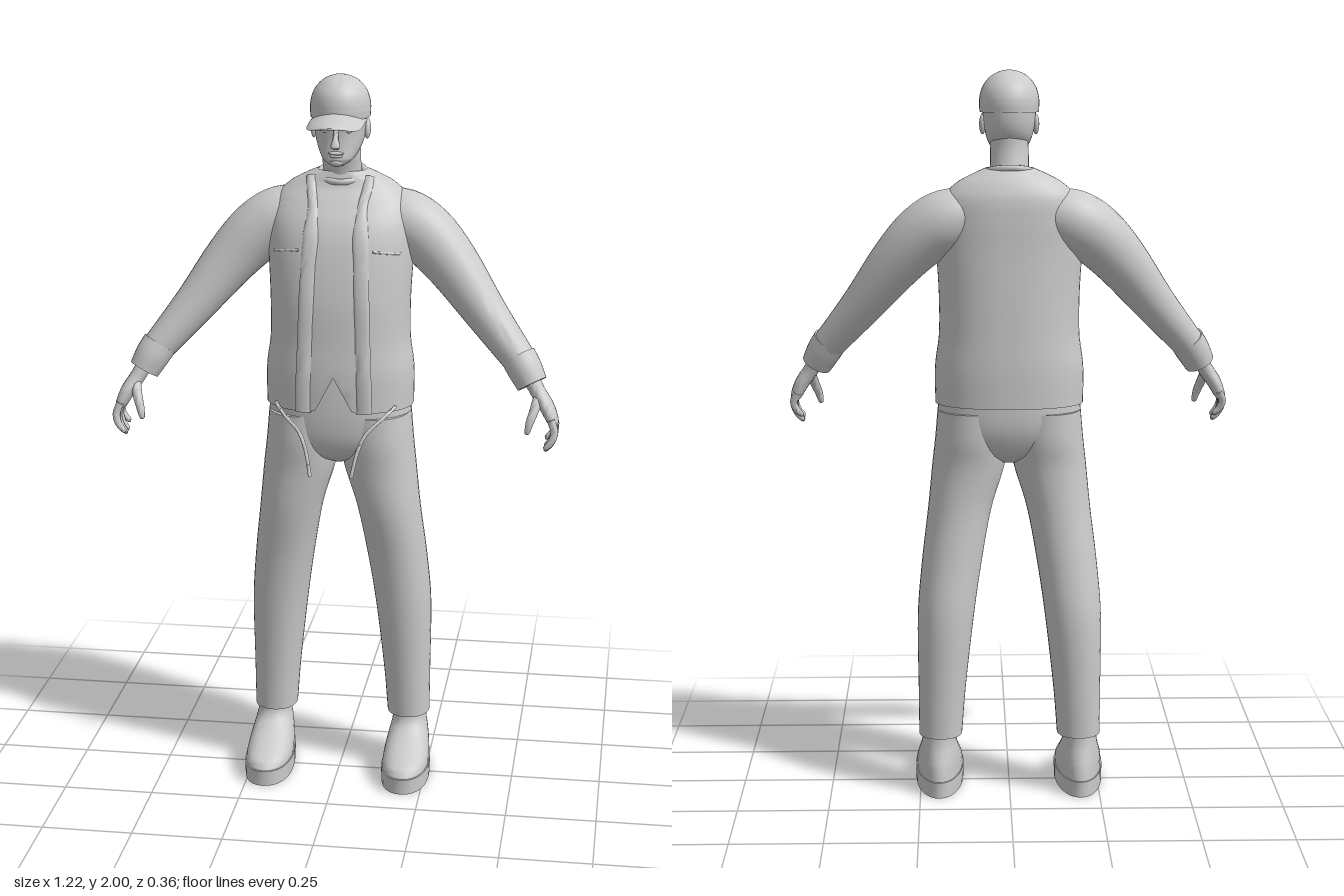
import * as THREE from 'three';
import { toCreasedNormals } from 'three/addons/utils/BufferGeometryUtils.js';

const X = new THREE.Vector3(1, 0, 0);
const Y = new THREE.Vector3(0, 1, 0);
const Z = new THREE.Vector3(0, 0, 1);
const material = new THREE.MeshStandardMaterial({ color: 0xcccccc, side: THREE.DoubleSide });

// Smoothly resample rows of [x, y, z, radiusU, radiusV]
function resample(rows, steps) {
  const out = [];
  const n = rows.length - 1;
  for (let k = 0; k <= n * steps; k++) {
    const i = Math.min(Math.floor(k / steps), n - 1), t = k / steps - i;
    out.push(rows[i].map((b, c) => {
      const d = rows[i + 1][c];
      const a = i ? rows[i - 1][c] : 2 * b - d;
      const e = i + 2 <= n ? rows[i + 2][c] : 2 * d - b;
      return 0.5 * (2 * b + (d - a) * t + (2 * a - 5 * b + 4 * d - e) * t * t + (3 * b - a - 3 * d + e) * t * t * t);
    }));
  }
  return out;
}

// Skin a closed surface over superellipse rings; a fixed axis keeps the rings parallel
function loft(rows, { segs = 24, steps = 4, power = 2, side = X, axis = null, capStart = true, capEnd = true, warp = null } = {}) {
  const rings = resample(rows, steps);
  const pos = [], index = [];
  const centre = rings.map(r => new THREE.Vector3(r[0], r[1], r[2]));
  const soft = v => Math.sign(v) * Math.abs(v) ** (2 / power);
  const put = p => { if (warp) warp(p); pos.push(p.x, p.y, p.z); };
  rings.forEach((r, i) => {
    const t = axis || centre[Math.min(i + 1, rings.length - 1)].clone().sub(centre[Math.max(i - 1, 0)]).normalize();
    const u = side.clone().addScaledVector(t, -t.dot(side)).normalize();
    const v = t.clone().cross(u);
    for (let j = 0; j < segs; j++) {
      const a = j / segs * Math.PI * 2;
      put(centre[i].clone().addScaledVector(u, soft(Math.cos(a)) * r[3]).addScaledVector(v, soft(Math.sin(a)) * r[4]));
    }
  });
  const last = (rings.length - 1) * segs;
  for (let i = 0; i < last; i += segs) {
    for (let j = 0; j < segs; j++) {
      const k = (j + 1) % segs;
      index.push(i + j, i + k, i + segs + k, i + j, i + segs + k, i + segs + j);
    }
  }
  const hub = pos.length / 3;
  put(centre[0].clone());
  put(centre[centre.length - 1].clone());
  for (let j = 0; j < segs; j++) {
    const k = (j + 1) % segs;
    if (capStart) index.push(hub, k, j);
    if (capEnd) index.push(hub + 1, last + j, last + k);
  }
  const g = new THREE.BufferGeometry();
  g.setAttribute('position', new THREE.Float32BufferAttribute(pos, 3));
  g.setIndex(index);
  return toCreasedNormals(g, 0.9);
}

const TORSO = [
  [0, 1.10, -0.03, 0.203, 0.147], [0, 1.2, -0.03, 0.203, 0.15], [0, 1.29, -0.031, 0.192, 0.147],
  [0, 1.4, -0.032, 0.192, 0.143], [0, 1.52, -0.04, 0.198, 0.131], [0, 1.6, -0.052, 0.198, 0.118],
  [0, 1.66, -0.068, 0.182, 0.098], [0, 1.7, -0.075, 0.145, 0.077], [0, 1.725, -0.071, 0.1, 0.065],
  [0, 1.74, -0.066, 0.066, 0.056],
];
const TORSO_POWER = 2.3;

// Depth of the jacket front at a given x and y
function chestZ(x, y) {
  const r = resample(TORSO, 8).find(q => q[1] >= y) || TORSO[TORSO.length - 1];
  return r[2] + r[4] * (1 - Math.min(1, Math.abs(x / r[3])) ** TORSO_POWER) ** (1 / TORSO_POWER);
}

export function createModel() {
  const model = new THREE.Group();
  const add = (name, geometry) => {
    const m = new THREE.Mesh(geometry, material);
    m.name = name;
    model.add(m);
    return m;
  };
  const ball = (name, p, s) => {
    const m = add(name, new THREE.SphereGeometry(1, 16, 12));
    m.position.set(...p);
    m.scale.set(...s);
    return m;
  };

  // Jacket body, with a notch at the centre of the front hem
  add('jacketBody', loft(TORSO, {
    segs: 64, steps: 6, power: TORSO_POWER, axis: Y, capStart: false, capEnd: false,
    warp: p => { if (p.z > 0) p.y = Math.max(p.y, 1.2 - 1.9 * Math.abs(p.x)); },
  }));
  const collar = add('shirtCollar', new THREE.TorusGeometry(0.062, 0.009, 8, 32));
  collar.rotation.x = Math.PI / 2 + 0.25;
  collar.position.set(0, 1.728, -0.062);

  // Hips
  add('hips', loft([
    [0, 0.935, -0.025, 0.03, 0.05], [0, 0.96, -0.025, 0.1, 0.095], [0, 1.0, -0.026, 0.185, 0.118],
    [0, 1.05, -0.028, 0.197, 0.13], [0, 1.12, -0.028, 0.193, 0.133], [0, 1.22, -0.028, 0.178, 0.13],
  ], { segs: 40, power: 2.3, axis: Y }));

  // Neck, head and face
  add('neck', loft([
    [0, 1.68, -0.07, 0.06, 0.055], [0, 1.74, -0.058, 0.053, 0.052], [0, 1.79, -0.045, 0.052, 0.055], [0, 1.84, -0.04, 0.05, 0.06],
  ], { axis: Y }));
  add('head', loft([
    [0, 1.766, 0.035, 0.018, 0.02], [0, 1.78, 0.018, 0.04, 0.047], [0, 1.81, -0.014, 0.058, 0.075],
    [0, 1.85, -0.027, 0.068, 0.086], [0, 1.91, -0.027, 0.073, 0.092],
  ], { segs: 32, axis: Y, power: 2.2 }));
  add('nose', loft([
    [0, 1.868, 0.058, 0.006, 0.006], [0, 1.84, 0.068, 0.008, 0.011], [0, 1.821, 0.075, 0.013, 0.014], [0, 1.813, 0.068, 0.007, 0.008],
  ], { segs: 12, axis: Y }));
  ball('upperLip', [0, 1.801, 0.061, ], [0.021, 0.005, 0.008]);
  ball('lowerLip', [0, 1.793, 0.059], [0.018, 0.005, 0.008]);
  ball('chin', [0, 1.776, 0.053], [0.02, 0.012, 0.014]);

  // Cap and its drooping brim
  add('capCrown', loft([
    [0, 1.888, -0.026, 0.08, 0.096], [0, 1.92, -0.026, 0.081, 0.097], [0, 1.955, -0.024, 0.072, 0.086],
    [0, 1.983, -0.022, 0.049, 0.058], [0, 1.996, -0.02, 0.022, 0.026], [0, 1.9995, -0.02, 0.002, 0.002],
  ], { segs: 32, axis: Y }));
  add('capBrim', loft([
    [0, 1.907, 0.0, 0.074, 0.005], [0, 1.903, 0.06, 0.074, 0.005], [0, 1.896, 0.11, 0.071, 0.005],
    [0, 1.889, 0.15, 0.056, 0.005], [0, 1.885, 0.172, 0.028, 0.004], [0, 1.884, 0.178, 0.008, 0.003],
  ], { segs: 28, axis: Z, warp: p => { p.y -= 4.5 * p.x * p.x; } }));

  for (const s of [1, -1]) {
    const side = s > 0 ? 'left' : 'right';
    const flip = rows => rows.map(([x, ...rest]) => [s * x, ...rest]);

    ball(side + 'Ear', [s * 0.072, 1.855, -0.03], [0.009, 0.028, 0.017]).rotation.x = -0.2;
    ball(side + 'Eye', [s * 0.028, 1.858, 0.046], [0.012, 0.006, 0.009]);
    ball(side + 'Brow', [s * 0.029, 1.875, 0.049], [0.02, 0.006, 0.01]);

    // Sleeve and cuff
    add(side + 'Sleeve', loft(flip([
      [0.08, 1.625, -0.08, 0.06, 0.06], [0.16, 1.603, -0.077, 0.084, 0.084], [0.23, 1.562, -0.066, 0.084, 0.084],
      [0.305, 1.485, -0.045, 0.074, 0.074], [0.4, 1.365, -0.005, 0.06, 0.058], [0.505, 1.24, 0.045, 0.047, 0.044],
    ]), { segs: 28, side: Z }));
    add(side + 'Cuff', loft(flip([
      [0.493, 1.258, 0.04, 0.05, 0.048], [0.513, 1.226, 0.052, 0.05, 0.047], [0.533, 1.19, 0.063, 0.045, 0.042],
    ]), { side: Z }));

    // Hand: palm, four curled fingers and a thumb
    add(side + 'Palm', loft(flip([
      [0.53, 1.205, 0.062, 0.026, 0.022], [0.551, 1.17, 0.073, 0.027, 0.021], [0.575, 1.135, 0.084, 0.036, 0.02],
      [0.592, 1.1, 0.091, 0.037, 0.016], [0.597, 1.086, 0.094, 0.03, 0.01],
    ]), { segs: 16, side: Z }));
    for (let f = 0; f < 4; f++) {
      const z = 0.124 - f * 0.021, len = [0.9, 1, 0.95, 0.75][f];
      add(side + 'Finger' + (f + 1), loft(flip([
        [0.589, 1.108, z, 0.011, 0.011], [0.599, 1.108 - 0.034 * len, z + 0.005, 0.0105, 0.0105],
        [0.592, 1.108 - 0.063 * len, z + 0.01, 0.0095, 0.0095], [0.576, 1.108 - 0.084 * len, z + 0.012, 0.007, 0.007],
        [0.572, 1.108 - 0.087 * len, z + 0.012, 0.002, 0.002],
      ]), { segs: 10, side: Z, steps: 3 }));
    }
    add(side + 'Thumb', loft(flip([
      [0.552, 1.162, 0.085, 0.014, 0.014], [0.543, 1.13, 0.11, 0.014, 0.013], [0.532, 1.098, 0.126, 0.011, 0.011],
      [0.526, 1.072, 0.132, 0.007, 0.007], [0.525, 1.068, 0.133, 0.002, 0.002],
    ]), { segs: 10, side: Z, steps: 3 }));

    // Jacket front edging and chest seam
    const edging = [[0.083, 1.1], [0.081, 1.2], [0.077, 1.3], [0.074, 1.4], [0.07, 1.5], [0.066, 1.58], [0.066, 1.65], [0.075, 1.695], [0.078, 1.725]];
    add(side + 'FrontEdging', loft(edging.map(([x, y]) => [s * x, y, chestZ(x, y), y > 1.6 ? 0.014 : 0.022, 0.007]), { segs: 12 }));
    add(side + 'ChestSeam', loft([0.1, 0.125, 0.15, 0.172].map(x => [s * x, 1.54 - (x - 0.1) * 0.15, chestZ(x, 1.54), 0.004, 0.003]), { segs: 8, side: Y }));

    // Hanging drawcord
    add(side + 'Drawcord', loft(flip([
      [0.165, 1.115, 0.075, 0.005, 0.004], [0.135, 1.09, 0.112, 0.005, 0.004], [0.092, 1.05, 0.134, 0.005, 0.004],
      [0.07, 1.0, 0.152, 0.005, 0.004], [0.056, 0.935, 0.171, 0.005, 0.004],
    ]), { segs: 8 }));

    // Trouser leg
    add(side + 'TrouserLeg', loft(flip([
      [0.193, 0.165, -0.072, 0.06, 0.072], [0.188, 0.3, -0.07, 0.066, 0.082], [0.177, 0.5, -0.063, 0.078, 0.097],
      [0.16, 0.65, -0.047, 0.083, 0.1], [0.137, 0.8, -0.028, 0.088, 0.106], [0.113, 0.92, -0.024, 0.1, 0.111],
      [0.104, 1.0, -0.026, 0.1, 0.122], [0.1, 1.08, -0.028, 0.097, 0.125],
    ]), { segs: 32, power: 2.15, axis: Y, steps: 5 }));

    // Shoe, broader at the toe than the heel
    const widen = p => { p.x = s * 0.197 + (p.x - s * 0.197) * (1 + p.z * 0.9); };
    add(side + 'Shoe', loft(flip([
      [0.197, 0.03, 0, 0.064, 0.161], [0.197, 0.058, -0.002, 0.064, 0.156], [0.197, 0.085, -0.025, 0.062, 0.128],
      [0.197, 0.115, -0.053, 0.057, 0.091], [0.197, 0.145, -0.069, 0.051, 0.068], [0.195, 0.19, -0.072, 0.05, 0.062],
    ]), { segs: 32, power: 2.2, axis: Y, warp: widen }));
    add(side + 'Sole', loft(flip([[0.197, 0, 0, 0.066, 0.163], [0.197, 0.045, 0, 0.067, 0.165]]), { segs: 32, steps: 1, power: 2.2, axis: Y, warp: widen }));
  }
  return model;
}
